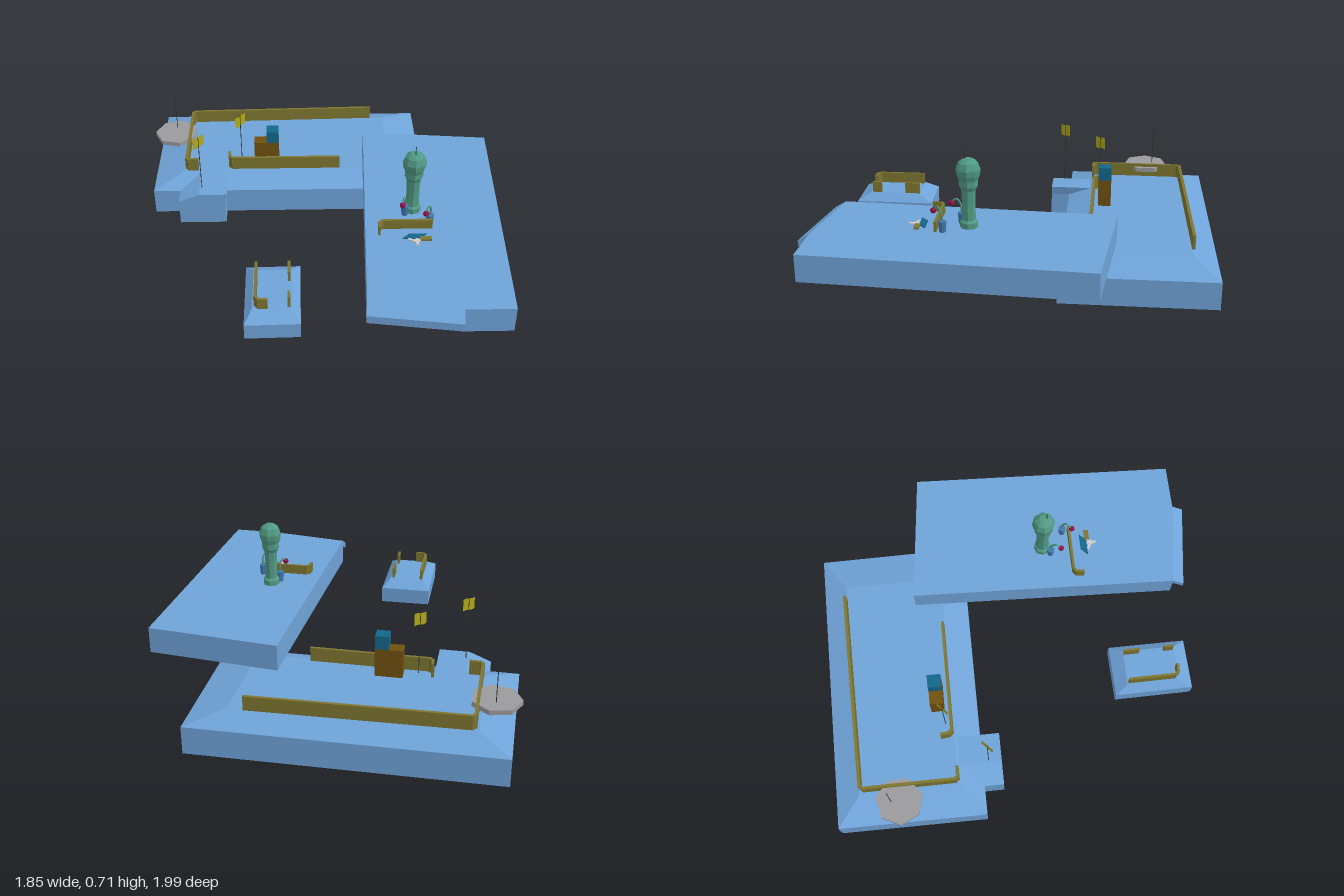
import * as THREE from 'three';

const mat = (color) => new THREE.MeshStandardMaterial({ color, flatShading: true, side: THREE.DoubleSide });
const BLUE = mat(0x6fa3d8), OLIVE = mat(0x7d7530), YELLOW = mat(0xb0a818), BROWN = mat(0x70500f);
const TEAL = mat(0x14668a), GREEN = mat(0x509a84), RED = mat(0x951048), GREY = mat(0x9a9a9e);
const DARK = mat(0x303030), POT = mat(0x4079b0), WHITE = mat(0xcccccc);

export function createModel() {
  const model = new THREE.Group();

  const add = (name, geometry, material, x = 0, y = 0, z = 0, parent = model) => {
    const mesh = new THREE.Mesh(geometry, material);
    mesh.name = name;
    mesh.position.set(x, y, z);
    parent.add(mesh);
    return mesh;
  };

  // Solid through stacked rings of [x, z] corners, clockwise from above: [height, corners]
  const loft = (name, rings, material = BLUE) => {
    const pos = [];
    const pts = rings.map(([y, c]) => c.map(([x, z, dy = 0]) => [x, y + dy, z]));
    const n = pts[0].length;
    const tri = (a, b, c) => pos.push(...a, ...b, ...c);
    for (let r = 0; r < pts.length - 1; r++) {
      for (let i = 0; i < n; i++) {
        const j = (i + 1) % n, lo = pts[r], hi = pts[r + 1];
        tri(lo[i], hi[i], hi[j]);
        tri(lo[i], hi[j], lo[j]);
      }
    }
    const top = pts[pts.length - 1];
    for (let i = 1; i < n - 1; i++) {
      tri(pts[0][0], pts[0][i], pts[0][i + 1]);
      tri(top[0], top[i + 1], top[i]);
    }
    const g = new THREE.BufferGeometry();
    g.setAttribute('position', new THREE.Float32BufferAttribute(pos, 3));
    g.computeVertexNormals();
    return add(name, g, material);
  };
  const rect = (x0, x1, z0, z1) => [[x0, z0], [x1, z0], [x1, z1], [x0, z1]];

  // Low wall following a path of [x, z] points
  const wall = (name, path, y0, y1, t = 0.015) => {
    const group = new THREE.Group();
    group.name = name;
    model.add(group);
    for (let i = 0; i < path.length - 1; i++) {
      const [ax, az] = path[i], [bx, bz] = path[i + 1];
      const len = Math.hypot(bx - ax, bz - az);
      const m = add('wallSegment', new THREE.BoxGeometry(len + t * 0.7, y1 - y0, t), OLIVE,
        (ax + bx) / 2, (y0 + y1) / 2, (az + bz) / 2, group);
      m.rotation.y = -Math.atan2(bz - az, bx - ax);
    }
  };

  const mast = (name, x, z, y0, y1) =>
    add(name, new THREE.CylinderGeometry(0.002, 0.002, y1 - y0, 5), DARK, x, (y0 + y1) / 2, z);

  // Main island with bevelled rim and a projecting landing
  const base = [[-0.9, -0.985], [0.575, -1], [0.58, -0.23], [-0.905, -0.23]];
  loft('mainIsland', [[0, base], [0.14, base], [0.19, [[-0.75, -0.865], [0.39, -0.875], [0.39, -0.36], [-0.74, -0.36]]]]);
  loft('landing', [
    [0, rect(-0.76, -0.51, -0.38, -0.13)],
    [0.14, rect(-0.76, -0.51, -0.38, -0.13)],
    [0.185, [[-0.65, -0.38], [-0.5, -0.38], [-0.5, -0.13], [-0.65, -0.13]]],
  ]);
  wall('backWall', [[0.31, -0.88], [-0.715, -0.855], [-0.73, -0.84], [-0.73, -0.375], [-0.718, -0.36], [-0.67, -0.36]], 0.19, 0.262);
  wall('frontWall', [[0.11, -0.37], [-0.475, -0.37], [-0.49, -0.385], [-0.495, -0.425]], 0.19, 0.262);

  // Crates
  add('crate', new THREE.BoxGeometry(0.135, 0.145, 0.068), BROWN, -0.287, 0.263, -0.433);
  add('smallCrate', new THREE.BoxGeometry(0.066, 0.07, 0.068), TEAL, -0.253, 0.37, -0.433);

  // Side platform with mast
  const disc = add('sidePlatform', new THREE.CylinderGeometry(0.12, 0.12, 0.024, 7), GREY, -0.81, 0.234, -0.66);
  disc.rotation.y = -Math.PI / 2;
  mast('platformMast', -0.81, -0.7, 0.24, 0.465);

  // Flags set diagonally on poles
  for (const [x, z, y0] of [[-0.637, -0.197, 0.18], [-0.425, -0.4, 0.19]]) {
    mast('flagPole', x, z, y0, 0.515);
    const g = new THREE.PlaneGeometry(0.072, 0.062, 4, 1);
    const p = g.attributes.position;
    for (let i = 0; i < p.count; i++) p.setY(i, p.getY(i) + 0.004 * Math.sin(p.getX(i) * 80));
    add('flag', g, YELLOW, x, 0.482, z).rotation.y = Math.PI / 4;
  }

  // Small island
  const islet = [[-0.37, 0.497], [-0.107, 0.493], [-0.107, 0.893], [-0.367, 0.898]];
  loft('smallIsland', [[0.13, islet], [0.212, islet], [0.25, rect(-0.33, -0.147, 0.56, 0.828)]]);
  wall('isletWall', [[-0.317, 0.57], [-0.315, 0.805], [-0.3, 0.823], [-0.262, 0.825]], 0.25, 0.307, 0.013);
  wall('isletShortWall', [[-0.16, 0.566], [-0.16, 0.637]], 0.25, 0.307, 0.012);
  wall('isletShortWall', [[-0.16, 0.774], [-0.16, 0.815]], 0.25, 0.307, 0.012);

  // Raised slab with a sloping lip at the front
  const slab = [[0.25, -0.507], [0.923, -0.44], [0.862, 0.935], [0.625, 0.935], [0.193, 0.872]];
  loft('slab', [[0.192, slab], [0.327, slab]]);
  const lip = [[0.193, 0.872], [0.627, 0.935], [0.622, 0.993, -0.036], [0.187, 0.93, -0.036]];
  loft('slabLip', [[0.295, lip], [0.327, lip]]);

  // Tower with faceted dome
  const profile = [[0, 0.325], [0.044, 0.325], [0.044, 0.355], [0.034, 0.365], [0.032, 0.45], [0.035, 0.515],
    [0.046, 0.535], [0.046, 0.565], [0.056, 0.59], [0.06, 0.62], [0.047, 0.653], [0.024, 0.669], [0, 0.672]];
  add('tower', new THREE.LatheGeometry(profile.map(([x, y]) => new THREE.Vector2(x, y)), 8), GREEN, 0.458, 0, 0.2);
  mast('towerMast', 0.458, 0.215, 0.66, 0.715);

  // Drooping plants in pots
  for (const [px, pz, bx, bz] of [[0.418, 0.24, 0.4, 0.292], [0.535, 0.315, 0.507, 0.362]]) {
    const plant = new THREE.Group();
    plant.name = 'pottedPlant';
    model.add(plant);
    add('pot', new THREE.CylinderGeometry(0.02, 0.016, 0.055, 8), POT, px, 0.354, pz, plant);
    const curve = new THREE.CatmullRomCurve3([
      new THREE.Vector3(px, 0.37, pz), new THREE.Vector3(px, 0.425, pz + 0.004),
      new THREE.Vector3((px + bx) / 2, 0.448, (pz + bz) / 2), new THREE.Vector3(bx, 0.425, bz)]);
    add('stem', new THREE.TubeGeometry(curve, 10, 0.005, 5), GREEN, 0, 0, 0, plant);
    add('bloom', new THREE.IcosahedronGeometry(0.015, 1), RED, bx, 0.423, bz, plant);
  }

  // Slab wall and scattered flat pieces
  wall('slabWall', [[0.54, 0.35], [0.3, 0.35], [0.283, 0.363], [0.28, 0.4]], 0.325, 0.378, 0.013);
  loft('tealSheet', [[0.33, [[0.425, 0.405], [0.51, 0.405], [0.475, 0.44], [0.39, 0.44]]],
    [0.336, [[0.425, 0.405], [0.51, 0.405], [0.475, 0.44], [0.39, 0.44]]]], TEAL);
  add('plank', new THREE.BoxGeometry(0.055, 0.01, 0.024), OLIVE, 0.503, 0.335, 0.444);
  for (const [x, z, a] of [[0.46, 0.465, 0], [0.44, 0.453, 1.1], [0.47, 0.455, -0.8]]) {
    add('scrap', new THREE.BoxGeometry(0.014, 0.006, 0.05), WHITE, x, 0.332, z).rotation.y = a;
  }

  return model;
}
